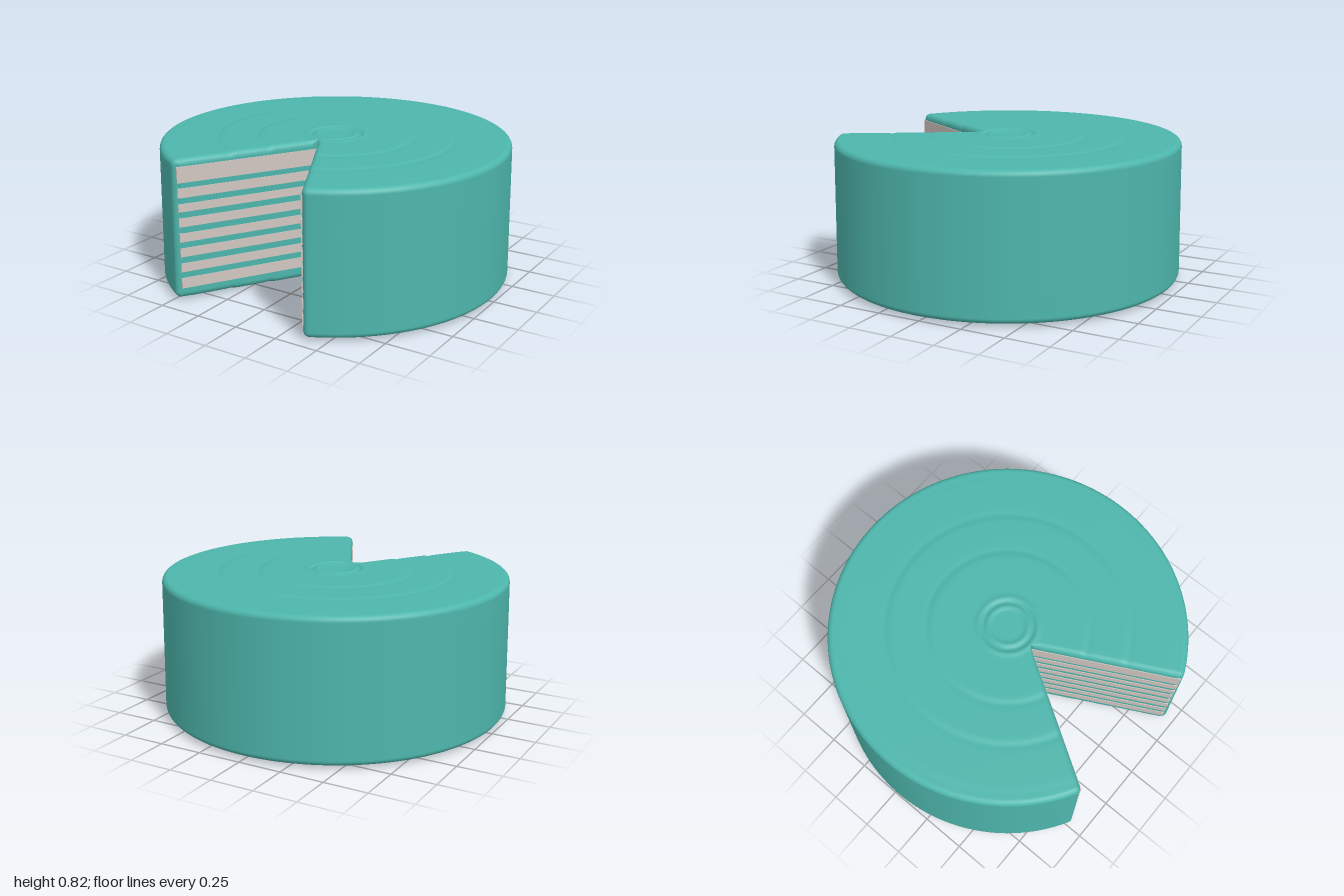
import * as THREE from 'three';

const H = 0.82, R = 1, B = 0.032;            // height, radius, edge rounding
const CZ = 0.03;                             // z of the round axis
const APEX = [-0.01, 0.2];                   // inner tip of the missing wedge
const CUTS = [[0.39, 0.96], [-0.46, 0.92]];  // outer ends of the two cut faces

const smooth = THREE.MathUtils.smoothstep;
const bump = (r, at, w) => Math.exp(-(((r - at) / w) ** 2));

// Relief of the round faces: shallow steps and a small central ring
const relief = (r) => -0.004 * smooth(r, 0.425, 0.465) - 0.004 * smooth(r, 0.65, 0.7)
  - 0.003 * bump(r, 0.45, 0.02) - 0.003 * bump(r, 0.68, 0.02) - 0.002 * smooth(r, 0.9, 0.95)
  + 0.006 * bump(r, 0.165, 0.014) - 0.007 * bump(r, 0.14, 0.012)
  + 0.005 * bump(r, 0.112, 0.012) - 0.003 * (1 - smooth(r, 0.09, 0.115));

// Profile from the top centre over the rim to the bottom centre, with normals
function makeProfile() {
  const half = [];
  const top = H - 0.006;
  const flat = 90;
  for (let i = 0; i < flat; i++) {
    const r = (R - B) * i / flat;
    half.push([r, top + relief(r), 0, 1]);
  }
  const rim = top + relief(R - B);
  for (let k = 0; k <= 6; k++) {
    const a = Math.PI / 2 * k / 6;
    half.push([R - B + B * Math.sin(a), rim - B + B * Math.cos(a), Math.sin(a), Math.cos(a)]);
  }
  const lower = half.map(([r, y, nr, ny]) => [r, H - y, nr, -ny]).reverse();
  return [...half, ...lower].map(([r, y, nr, ny]) => [r * (1 - 0.014 * y), y, nr, ny]);
}

// Angle at which a cut face crosses the circle of radius r
function cutAngle([ex, ez], r) {
  const ax = APEX[0], az = APEX[1] - CZ;
  const dx = ex - APEX[0], dz = ez - APEX[1];
  const a = dx * dx + dz * dz, b = ax * dx + az * dz, c = ax * ax + az * az - r * r;
  const t = c >= 0 ? 0 : (-b + Math.sqrt(b * b - a * c)) / a;
  return Math.atan2(ax + t * dx, az + t * dz);
}

// Columns around the body: rounded at both cut edges, even in between
function makeColumns() {
  const edge = [];
  for (let k = 0; k <= 6; k++) {
    const a = Math.PI / 2 * k / 6;
    edge.push({ d: B * (1 - Math.cos(a)), drop: B * (1 - Math.sin(a)) });
  }
  const cols = edge.map((e) => ({ ...e, u: 0 }));
  for (let k = 1; k < 130; k++) cols.push({ d: B, drop: 0, u: k / 130 });
  return [...cols, ...edge.reverse().map((e) => ({ ...e, u: 1 }))];
}

function geometryFrom(points, index) {
  const g = new THREE.BufferGeometry();
  g.setAttribute('position', new THREE.Float32BufferAttribute(points.flat(), 3));
  g.setIndex(index);
  g.computeVertexNormals();
  return g;
}

function makeSurfaces() {
  const profile = makeProfile(), cols = makeColumns();
  const n = profile.length;
  const grid = cols.map(({ d, drop, u }) => profile.map(([r, y, nr, ny]) => {
    const fade = smooth(r, 0.16, 0.21);
    const inset = r > 0.1 ? Math.asin(d * fade / r) : 0;
    const from = cutAngle(CUTS[0], r), to = cutAngle(CUTS[1], r) + Math.PI * 2;
    const a = from + (to - from) * u + inset * (1 - 2 * u);
    const rr = Math.max(0, r - nr * drop * fade);
    return [rr * Math.sin(a), y - ny * drop * fade, CZ + rr * Math.cos(a)];
  }));
  const index = [];
  for (let j = 0; j < cols.length - 1; j++) {
    for (let i = 0; i < n - 1; i++) {
      const a = j * n + i, b = a + n;
      index.push(a, a + 1, b, a + 1, b + 1, b);
    }
  }
  const shell = geometryFrom(grid.flat(), index);

  // Flat walls join the upper and lower halves of the end columns
  const walls = [grid[0], grid[grid.length - 1]].map((column, side) => {
    const idx = [];
    for (let i = 0; i < n / 2 - 1; i++) {
      const p = i, q = i + 1, s = n - 1 - i, t = n - 2 - i;
      if (side === 0) idx.push(p, s, q, q, s, t);
      else idx.push(p, q, s, q, t, s);
    }
    return geometryFrom(column, idx);
  });
  return { shell, walls };
}

export function createModel() {
  const teal = new THREE.MeshStandardMaterial({ color: 0x4db6ac });
  teal.name = 'teal';
  const cream = new THREE.MeshStandardMaterial({ color: 0xd2c6c1 });
  cream.name = 'pale pink';

  const model = new THREE.Group();
  model.name = 'cutRoundBlock';
  const add = (geometry, material, name, parent = model) => {
    const mesh = new THREE.Mesh(geometry, material);
    mesh.name = name;
    parent.add(mesh);
    return mesh;
  };

  const { shell, walls } = makeSurfaces();
  add(shell, teal, 'body');
  walls.forEach((g, i) => add(g, teal, i ? 'rightCutFace' : 'leftCutFace'));

  // Pale layers on each cut face: [bottom, top] heights
  const layers = [[0.075, 0.135], [0.17, 0.22], [0.257, 0.307], [0.342, 0.392],
    [0.428, 0.478], [0.513, 0.558], [0.592, 0.645], [0.675, 0.765]];
  CUTS.forEach(([ex, ez], side) => {
    const dx = ex - APEX[0], dz = ez - APEX[1];
    const full = Math.hypot(dx, dz), length = full - 0.03;
    const group = new THREE.Group();
    group.name = side ? 'rightLayers' : 'leftLayers';
    group.position.set(APEX[0] + dx / full * length / 2, 0, APEX[1] + dz / full * length / 2);
    group.rotation.y = Math.atan2(-dz, dx);
    model.add(group);
    for (const [y0, y1] of layers) {
      const plate = add(new THREE.BoxGeometry(length, y1 - y0, 0.008), cream, 'layer', group);
      plate.position.y = (y0 + y1) / 2;
    }
  });
  return model;
}
